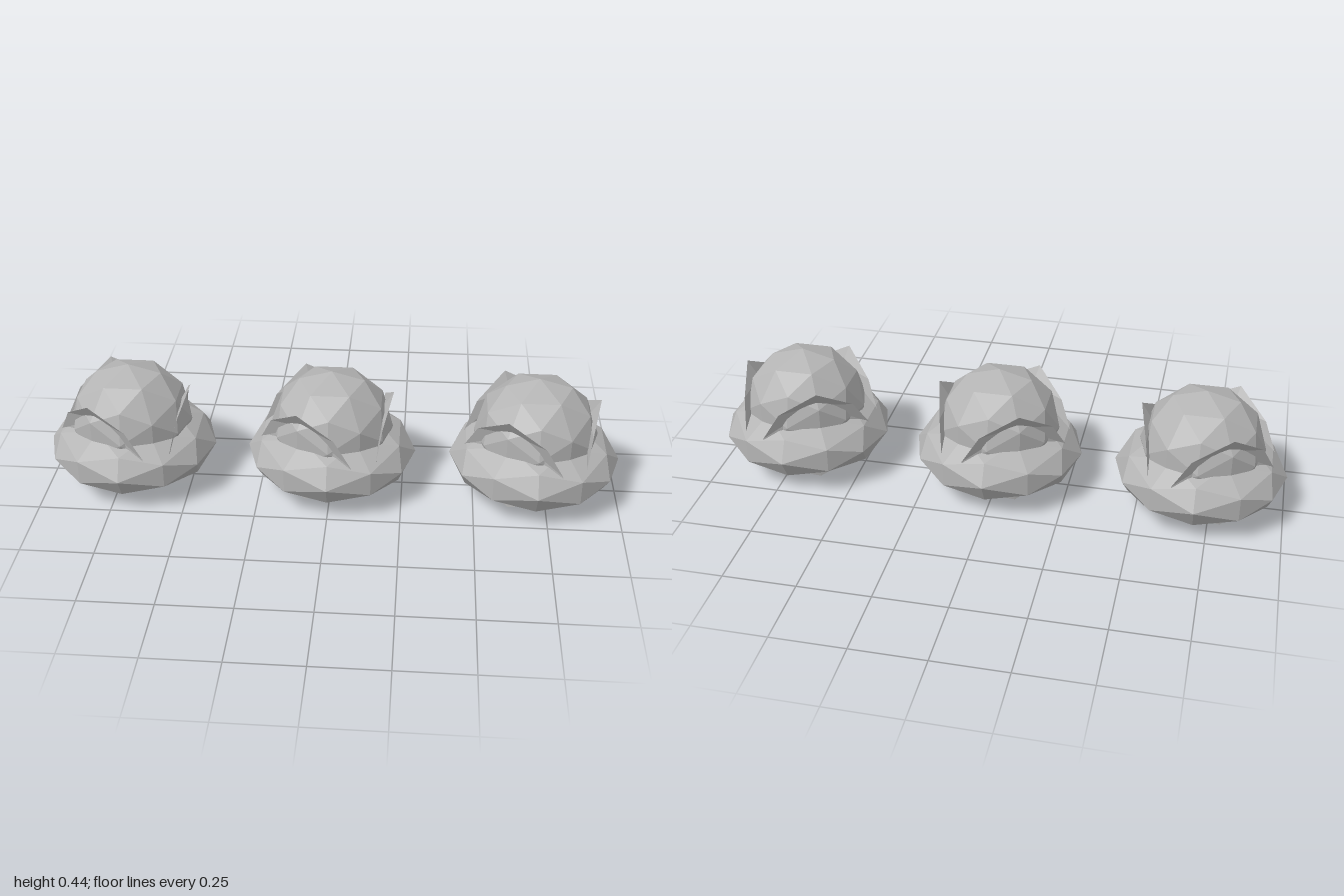
import * as THREE from 'three';

// Faceted ellipsoid
function pebble(name, radii, y, material) {
  const mesh = new THREE.Mesh(new THREE.IcosahedronGeometry(1, 1), material);
  mesh.name = name;
  mesh.scale.set(...radii);
  mesh.position.y = y;
  return mesh;
}

// Thin upright plate facing +x, flaring outward at its peak
function plateGeometry() {
  // [radius, height, sideways] from the peak down one side
  const half = [
    [0.2135, 0.371, 0], [0.181, 0.295, 0.13], [0.163, 0.203, 0.187],
    [0.163, 0.13, 0.195], [0.168, 0.066, 0.12], [0.173, 0.017, 0],
  ];
  const otherHalf = half.slice(1, -1).reverse().map(([r, y, t]) => [r, y, -t]);
  const rim = [...half, ...otherHalf];
  const hub = [0.175, 0.31, 0];
  const positions = [];
  rim.forEach((p, i) => positions.push(...hub, ...p, ...rim[(i + 1) % rim.length]));
  const geometry = new THREE.BufferGeometry();
  geometry.setAttribute('position', new THREE.Float32BufferAttribute(positions, 3));
  geometry.computeVertexNormals();
  return geometry;
}

export function createModel() {
  const model = new THREE.Group();
  const gray = new THREE.MeshStandardMaterial({ color: 0xb4b4b4, flatShading: true, side: THREE.DoubleSide });
  gray.name = 'stone gray';
  const plate = plateGeometry();

  // Three identical pods in a row
  for (const x of [-0.706, 0, 0.706]) {
    const pod = new THREE.Group();
    pod.name = 'pod';
    pod.position.x = x;
    pod.add(pebble('base', [0.294, 0.1375, 0.287], 0.14, gray));
    pod.add(pebble('dome', [0.213, 0.205, 0.21], 0.238, gray));

    // Three plates evenly spaced around the dome
    for (let i = 0; i < 3; i++) {
      const mesh = new THREE.Mesh(plate, gray);
      mesh.name = 'sidePlate';
      mesh.rotation.y = (i * Math.PI * 2) / 3;
      pod.add(mesh);
    }
    model.add(pod);
  }
  return model;
}
